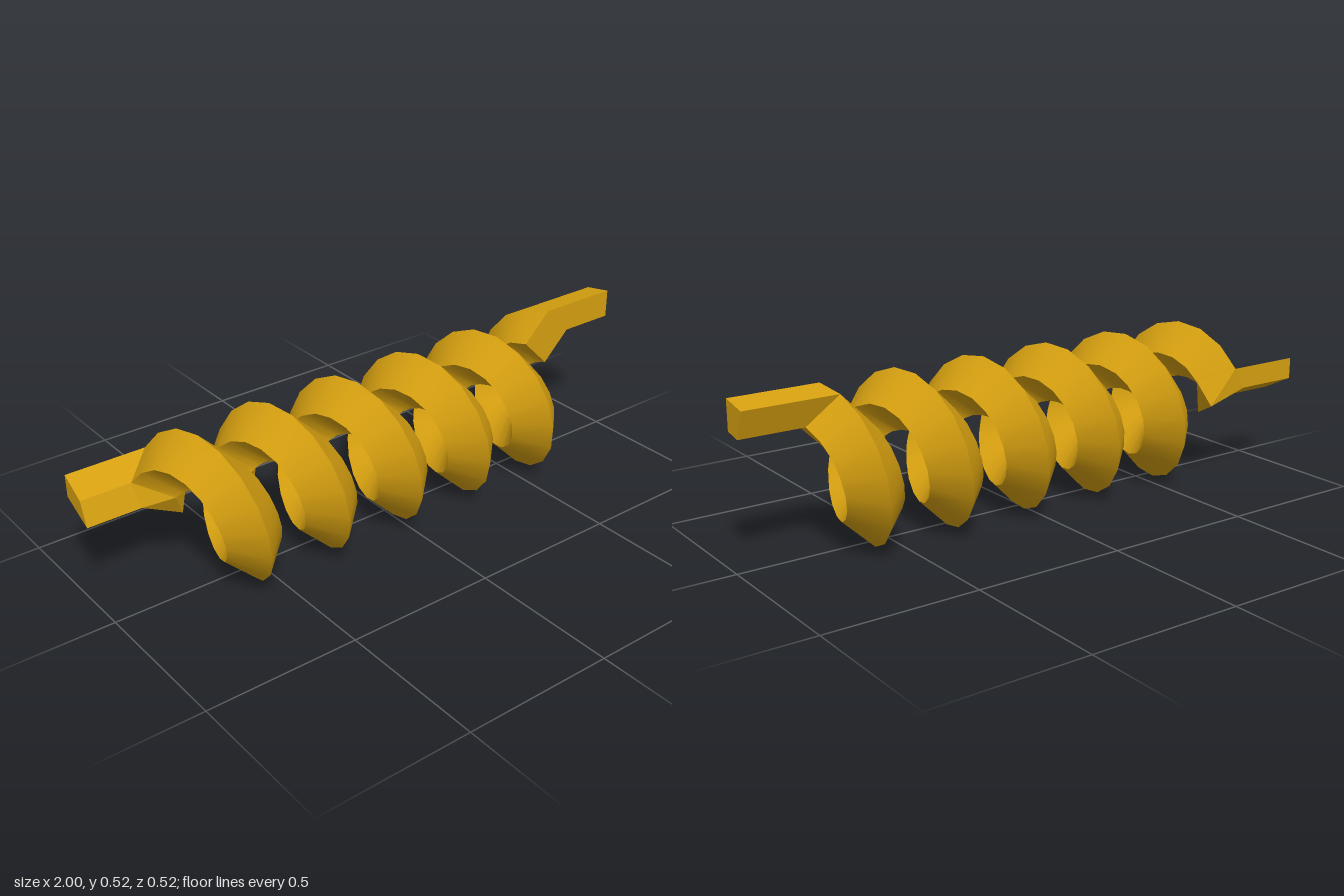
import * as THREE from 'three';

const SEGMENTS = 90, TURNS = 5, STEP = 20.66;
const AXIS_Y = 0.264, PITCH = 0.28;

// Diamond profile as [offset along x, radius]: outer, right, inner, left
const DIAMOND = [[0, 0.262], [0.097, 0.166], [0, 0.07], [-0.097, 0.166]];

// Diamond section at an angle in degrees (0 = top, turning toward the front)
function section(deg) {
  const t = THREE.MathUtils.degToRad(deg);
  return DIAMOND.map(([dx, r]) => new THREE.Vector3(
    -0.69 + PITCH * deg / 360 + dx, AXIS_Y + r * Math.cos(t), r * Math.sin(t)));
}

// Surface between edges a and b of consecutive sections, smooth along its length
function strip(sections, a, b) {
  const points = [], index = [];
  sections.forEach((s, i) => {
    points.push(s[a], s[b]);
    if (i === 0) return;
    const k = 2 * i;
    index.push(k - 1, k - 2, k, k - 1, k, k + 1);
  });
  const geo = new THREE.BufferGeometry().setFromPoints(points);
  geo.setIndex(index);
  geo.computeVertexNormals();
  return geo;
}

// Flat faces from four-cornered loops
function quads(list) {
  const points = list.flatMap(([a, b, c, d]) => [a, b, c, a, c, d]);
  const geo = new THREE.BufferGeometry().setFromPoints(points);
  geo.computeVertexNormals();
  return geo;
}

// Bar drawn straight out of a loop to a given x, closed at the far end
function bar(loop, x) {
  const far = loop.map(p => new THREE.Vector3(x, p.y, p.z));
  const sides = loop.map((p, k) => {
    const n = (k + 1) % 4;
    return [p, loop[n], far[n], far[k]];
  });
  return quads([...sides, far]);
}

export function createModel() {
  const group = new THREE.Group();
  const material = new THREE.MeshStandardMaterial({ color: 0xd6a010 });
  const add = (name, geo) => {
    const mesh = new THREE.Mesh(geo, material);
    mesh.name = name;
    group.add(mesh);
  };

  // Helix sections, ending exactly at the top
  const coil = [];
  for (let i = 0; i <= SEGMENTS; i++) coil.push(section(TURNS * 360 - (SEGMENTS - i) * STEP));
  const first = coil[0], last = coil[SEGMENTS], beforeLast = coil[SEGMENTS - 1];

  // Coil flanks; the outer right one stops where the end bar leaves it
  const flanks = ['coilOuterRight', 'coilInnerRight', 'coilInnerLeft', 'coilOuterLeft'];
  flanks.forEach((name, k) =>
    add(name, strip(k === 0 ? coil.slice(0, -1) : coil, k, (k + 1) % 4)));
  add('coilEndCap', quads([[...last].reverse()]));

  // Bent root joining the coil to the starting bar
  const root = [[-0.78, 0.325, -0.225], [-0.65, 0.275, -0.205], [-0.7, 0.22, -0.09], [-0.82, 0.27, -0.115]]
    .map(p => new THREE.Vector3(...p));
  const rootFaces = [0, 1, 2].map(k => [root[k + 1], root[k], first[k], first[k + 1]]);
  add('coilRoot', quads([root, ...rootFaces]));

  // Straight bars at both ends
  add('startBar', bar([root[0], root[3], first[3], first[0]], -1));
  add('endBar', bar([beforeLast[1], beforeLast[0], last[0], last[1]], 1));
  return group;
}
